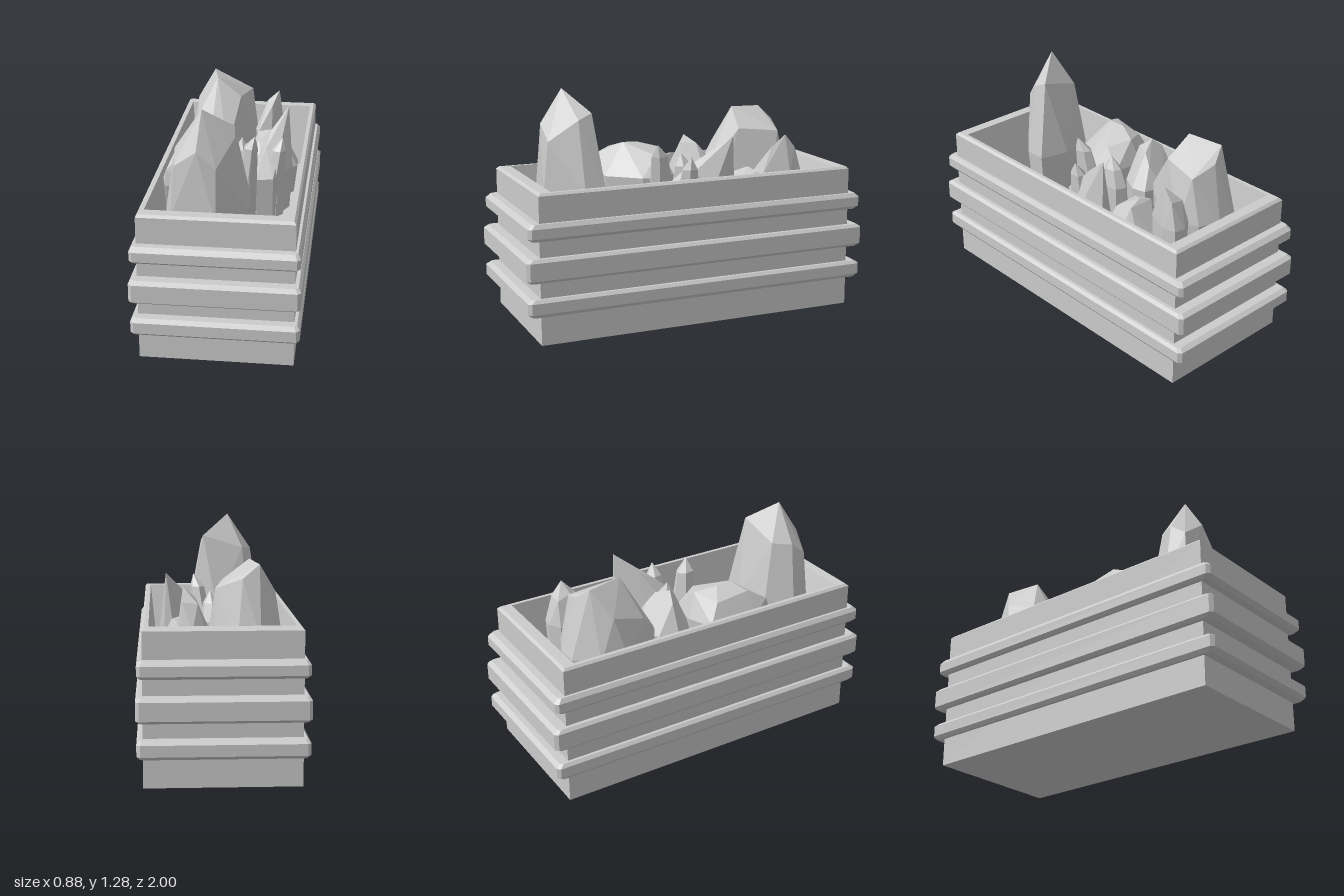
import * as THREE from 'three';
import { ConvexGeometry } from 'three/addons/geometries/ConvexGeometry.js';

const material = new THREE.MeshStandardMaterial({ color: 0xcccccc, flatShading: true });
const FLOOR = 0.45;

function addMesh(group, name, geometry) {
  const mesh = new THREE.Mesh(geometry, material);
  mesh.name = name;
  group.add(mesh);
}

// Rectangle ring with chamfered corners, counter-clockwise from above
function ring(w, d, y, c = 0) {
  const corners = c
    ? [[w - c, d], [w, d - c], [w, c - d], [w - c, -d], [c - w, -d], [-w, c - d], [-w, d - c], [c - w, d]]
    : [[w, d], [w, -d], [-w, -d], [-w, d]];
  return corners.map(([x, z]) => [x, y, z]);
}

// Skin successive rings with flat quads, optionally closing both ends
function loft(rings, capped) {
  const pos = [];
  const tri = (...corners) => corners.forEach((p) => pos.push(...p));
  for (let r = 0; r < rings.length - 1; r++) {
    const a = rings[r], b = rings[r + 1];
    for (let i = 0; i < a.length; i++) {
      const j = (i + 1) % a.length;
      tri(a[i], a[j], b[j]);
      tri(a[i], b[j], b[i]);
    }
  }
  if (capped) {
    const a = rings[0], b = rings[rings.length - 1];
    for (let i = 1; i < a.length - 1; i++) {
      tri(a[0], a[i + 1], a[i]);
      tri(b[0], b[i], b[i + 1]);
    }
  }
  const geometry = new THREE.BufferGeometry();
  geometry.setAttribute('position', new THREE.Float32BufferAttribute(pos, 3));
  geometry.computeVertexNormals();
  return geometry;
}

// Faceted rock: a footprint [x, z] at height y, narrowed to the floor, with shoulder and tip points above
function rock(foot, y, upper) {
  const cx = foot.reduce((s, p) => s + p[0], 0) / foot.length;
  const cz = foot.reduce((s, p) => s + p[1], 0) / foot.length;
  const points = upper.map((p) => new THREE.Vector3(...p));
  for (const [x, z] of foot) {
    points.push(new THREE.Vector3(x, y, z));
    points.push(new THREE.Vector3(cx + (x - cx) * 0.88, FLOOR - 0.01, cz + (z - cz) * 0.88));
  }
  return new ConvexGeometry(points);
}

// Small six-sided crystal with a pointed, slightly leaning tip
function smallCrystal(x, z, rx, rz, tip) {
  const foot = [], shoulder = [];
  for (let i = 0; i < 6; i++) {
    const c = Math.cos(i * Math.PI / 3 + 0.3), s = Math.sin(i * Math.PI / 3 + 0.3);
    foot.push([x + rx * c, z + rz * s]);
    shoulder.push([(x + tip[0]) / 2 + rx * 0.7 * c, tip[1] - 0.07, (z + tip[2]) / 2 + rz * 0.7 * s]);
  }
  return rock(foot, 0.72, [...shoulder, tip]);
}

export function createModel() {
  const model = new THREE.Group();
  model.name = 'crystalCrate';

  // Open box with bevelled rim and sloping inner walls
  addMesh(model, 'box', loft([
    ring(0.405, 0.92, 0), ring(0.405, 0.92, 0.8), ring(0.393, 0.905, 0.813),
    ring(0.372, 0.845, 0.813), ring(0.335, 0.762, FLOOR),
  ], true));

  // Bevelled bands: bottom, lower edge, upper edge, top, half width, half depth
  const bands = [
    [0.16, 0.18, 0.24, 0.257, 0.436, 0.995],
    [0.345, 0.362, 0.458, 0.475, 0.44, 1.0],
    [0.565, 0.583, 0.635, 0.658, 0.434, 0.985],
  ];
  for (const [y0, y1, y2, y3, w, d] of bands) {
    addMesh(model, 'band', loft([
      ring(0.395, 0.9, y0, 0.01), ring(w - 0.015, d - 0.025, y0, 0.015), ring(w, d, y1, 0.018),
      ring(w, d, y2, 0.018), ring(w - 0.015, d - 0.025, y3, 0.015), ring(0.395, 0.9, y3, 0.01),
    ], false));
  }

  const crystals = new THREE.Group();
  crystals.name = 'crystals';
  model.add(crystals);

  addMesh(crystals, 'tallFrontCrystal', rock(
    [[-0.22, 0.46], [-0.03, 0.41], [0.135, 0.45], [0.135, 0.57], [-0.02, 0.76], [-0.26, 0.73], [-0.3, 0.61]], 0.72,
    [[-0.105, 1.28, 0.62], [0.05, 1.155, 0.5], [0.06, 1.12, 0.58], [-0.245, 1.07, 0.62],
      [-0.12, 1.09, 0.74], [-0.19, 1.08, 0.52], [-0.02, 1.0, 0.73], [-0.24, 1.0, 0.71]]));
  addMesh(crystals, 'largeBackCrystal', rock(
    [[-0.31, -0.65], [-0.2, -0.77], [-0.08, -0.77], [0.03, -0.72], [0.07, -0.61], [-0.02, -0.36],
      [-0.08, -0.24], [-0.19, -0.23], [-0.3, -0.37], [-0.33, -0.5]], 0.72,
    [[-0.2, 1.1, -0.65], [-0.16, 1.11, -0.45], [0.03, 0.98, -0.66], [-0.02, 1.0, -0.43],
      [-0.29, 0.95, -0.56], [-0.11, 1.03, -0.69], [-0.27, 0.89, -0.37]]));
  addMesh(crystals, 'leftLeaningCrystal', rock(
    [[-0.34, 0.02], [-0.2, -0.04], [-0.03, -0.02], [0.04, 0.12], [0.02, 0.19], [-0.13, 0.36],
      [-0.34, 0.41], [-0.37, 0.29]], 0.76,
    [[-0.22, 0.93, 0.13], [-0.21, 0.935, 0.22], [-0.31, 0.9, 0.27], [-0.17, 0.9, 0.01], [-0.05, 0.87, 0.08],
      [-0.3, 0.87, 0.08], [-0.34, 0.84, 0.38]]));
  addMesh(crystals, 'middleCrystal', rock(
    [[-0.26, -0.27], [-0.12, -0.31], [0, -0.28], [0.02, -0.2], [-0.03, -0.1], [-0.16, -0.03],
      [-0.27, -0.08], [-0.31, -0.17]], 0.74,
    [[-0.18, 0.96, -0.15], [-0.09, 0.92, -0.19], [-0.13, 0.92, -0.1], [-0.24, 0.91, -0.17], [-0.07, 0.86, -0.24]]));
  addMesh(crystals, 'lowRightRock', rock(
    [[0, -0.34], [0.04, -0.47], [0.15, -0.52], [0.26, -0.5], [0.33, -0.4], [0.33, -0.31], [0.22, -0.22],
      [0.13, -0.16], [0.02, -0.2]], 0.62,
    [[0.16, 0.81, -0.4], [0.24, 0.79, -0.42], [0.25, 0.77, -0.32], [0.09, 0.79, -0.42], [0.1, 0.77, -0.31]]));
  addMesh(crystals, 'backRightCrystal', rock(
    [[0.06, -0.55], [0.08, -0.69], [0.15, -0.73], [0.21, -0.72], [0.225, -0.64], [0.16, -0.5], [0.08, -0.47]], 0.76,
    [[0.195, 0.985, -0.62], [0.13, 0.925, -0.6], [0.2, 0.91, -0.68], [0.16, 0.91, -0.55], [0.12, 0.9, -0.68]]));
  addMesh(crystals, 'sharpRightCrystal', rock(
    [[0.24, -0.26], [0.29, -0.25], [0.315, -0.1], [0.22, 0.11], [0.12, 0.13], [0.08, 0], [0.15, -0.13]], 0.7,
    [[0.28, 1.015, -0.245], [0.19, 0.91, -0.13], [0.17, 0.84, -0.02]]));

  // Small crystals: x, z, radii, tip
  for (const [x, z, rx, rz, tip] of [
    [0.225, 0, 0.058, 0.068, [0.265, 0.91, 0]],
    [0.075, 0.1, 0.058, 0.078, [0.12, 0.965, 0.14]],
    [0.03, -0.07, 0.06, 0.08, [0.03, 0.89, -0.04]],
  ]) addMesh(crystals, 'smallCrystal', smallCrystal(x, z, rx, rz, tip));

  return model;
}
